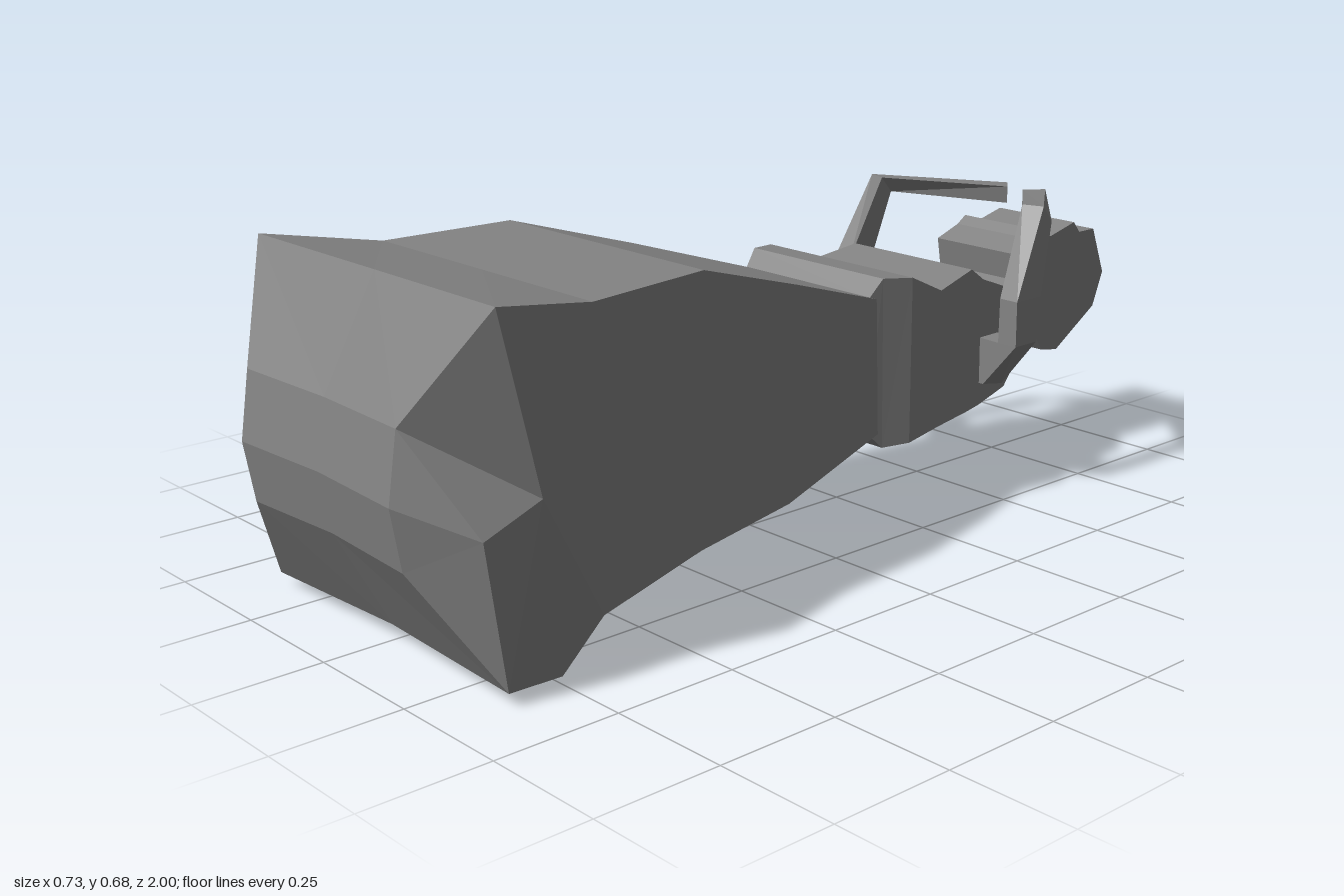
import * as THREE from 'three';

const material = new THREE.MeshStandardMaterial({ color: 0x838383, flatShading: true, side: THREE.DoubleSide });

// Flat-faced mesh from a list of convex polygons
function polyMesh(name, polys) {
  const pos = [];
  for (const p of polys)
    for (let i = 1; i < p.length - 1; i++) pos.push(...p[0], ...p[i], ...p[i + 1]);
  const g = new THREE.BufferGeometry();
  g.setAttribute('position', new THREE.Float32BufferAttribute(pos, 3));
  g.computeVertexNormals();
  return named(name, g);
}

function named(name, geometry) {
  const m = new THREE.Mesh(geometry, material);
  m.name = name;
  return m;
}

// Skin between rings of points, with an optional cap at the start
function loft(rings, capStart = true) {
  const polys = [];
  for (let i = 0; i < rings.length - 1; i++) {
    const a = rings[i], b = rings[i + 1];
    a.forEach((p, j) => {
      const k = (j + 1) % a.length;
      polys.push([p, b[j], b[k], a[k]]);
    });
  }
  if (capStart) polys.push(rings[0]);
  polys.push([...rings[rings.length - 1]].reverse());
  return polys;
}

// Rectangular section across z: top z, bottom z, half width, top y, bottom y
const section = (cx) => ([zt, zb, w, yt, yb]) =>
  [[cx - w, yb, zb], [cx + w, yb, zb], [cx + w, yt, zt], [cx - w, yt, zt]];

const mirror = ([x, y, z]) => [-x, y, z];

// Faceted nose with notched sides and a slightly hollow front
function makeNose() {
  const T = [0.315, 0.64, 0.64], A = [0.364, 0.68, 0.87], M = [0.365, 0.345, 0.79];
  const P = [0.365, 0.3, 0.91], B = [0.364, 0.025, 0.87], K = [0.325, 0, 0.73], U = [0.315, 0.08, 0.63];
  const F1 = [0.235, 0.475, 0.98], F2 = [0.235, 0.345, 1], F3 = [0.235, 0.228, 0.98];
  const side = [
    [M, T, A], [M, U, T], [M, K, U], [M, B, K], [M, P, B],
    [F1, M, A], [F1, P, M], [F1, F2, P], [F2, F3, P], [F3, B, P],
  ];
  const strip = [T, A, F1, F2, F3, B, K, U];
  const middle = ([, y, z]) => (z < 0.7 ? [0, y, z] : [0, y + (0.345 - y) * 0.015, z - 0.012]);
  for (let i = 0; i < strip.length - 1; i++) {
    const p = strip[i], q = strip[i + 1];
    side.push([middle(p), middle(q), q, p]);
  }
  return polyMesh('nose', [...side, ...side.map((t) => t.map(mirror).reverse())]);
}

// Bent arm on a wedge foot, rising from the neck and reaching back over the head
function makeArm(sign, cx) {
  // inner front, inner back, outer back, outer front
  const rings = [
    [[0.15, 0.235, -0.515], [0.15, 0.225, -0.575], [0.18, 0.225, -0.575], [0.18, 0.235, -0.515]],
    [[0.15, 0.335, -0.515], [0.15, 0.335, -0.575], [0.27, 0.335, -0.575], [0.27, 0.335, -0.51]],
    [[0.222, 0.335, -0.51], [0.222, 0.335, -0.575], [0.27, 0.335, -0.575], [0.27, 0.335, -0.51]],
    [[0.222, 0.43, -0.512], [0.222, 0.43, -0.585], [0.268, 0.43, -0.588], [0.268, 0.43, -0.512]],
    [[0.203, 0.615, -0.595], [0.203, 0.58, -0.625], [0.248, 0.58, -0.638], [0.248, 0.615, -0.61]],
    [[0.022, 0.592, -0.812], [0.022, 0.555, -0.812], [0.055, 0.555, -0.85], [0.055, 0.592, -0.85]],
  ].map((r) => {
    const s = r.map(([x, y, z]) => [cx + sign * x, y, z]);
    return sign < 0 ? s.reverse() : s;
  });
  return polyMesh(sign > 0 ? 'leftArm' : 'rightArm', loft(rings));
}

export function createModel() {
  const model = new THREE.Group();
  model.name = 'model';
  const cx = -0.01; // the tail end sits slightly off centre

  model.add(makeNose());

  // Long tapering body
  model.add(polyMesh('body', loft([
    [0.64, 0.63, 0.315, 0.64, 0.08],
    [0.37, 0.38, 0.285, 0.645, 0.125],
    [0.1, 0.12, 0.242, 0.566, 0.14],
    [-0.17, -0.18, 0.185, 0.482, 0.2],
  ].map(section(0)), false)));

  // Stepped collar and neck
  model.add(polyMesh('neck', loft([
    [-0.165, -0.165, 0.18, 0.482, 0.2],
    [-0.195, -0.2, 0.188, 0.518, 0.165],
    [-0.26, -0.26, 0.207, 0.513, 0.167],
    [-0.365, -0.365, 0.19, 0.466, 0.175],
    [-0.48, -0.48, 0.17, 0.488, 0.18],
    [-0.52, -0.52, 0.168, 0.46, 0.187],
    [-0.6, -0.6, 0.165, 0.43, 0.21],
    [-0.66, -0.66, 0.14, 0.408, 0.238],
    [-0.708, -0.708, 0.125, 0.38, 0.27],
  ].map(section(cx)))));

  // Head: side profile (z, y) extruded across x
  const profile = [
    [-0.68, 0.48], [-0.745, 0.503], [-0.77, 0.52], [-0.81, 0.5], [-0.89, 0.52], [-0.91, 0.495],
    [-0.96, 0.495], [-1, 0.39], [-0.97, 0.315], [-0.845, 0.235], [-0.795, 0.243], [-0.765, 0.285],
    [-0.7, 0.29], [-0.7, 0.39], [-0.66, 0.41], [-0.69, 0.42],
  ];
  const head = new THREE.ExtrudeGeometry(
    new THREE.Shape(profile.map(([z, y]) => new THREE.Vector2(z, y))),
    { depth: 0.216, bevelEnabled: false });
  head.rotateY(-Math.PI / 2).translate(cx + 0.108, 0, 0);
  model.add(named('head', head));

  for (const sign of [1, -1]) model.add(makeArm(sign, cx));
  return model;
}
